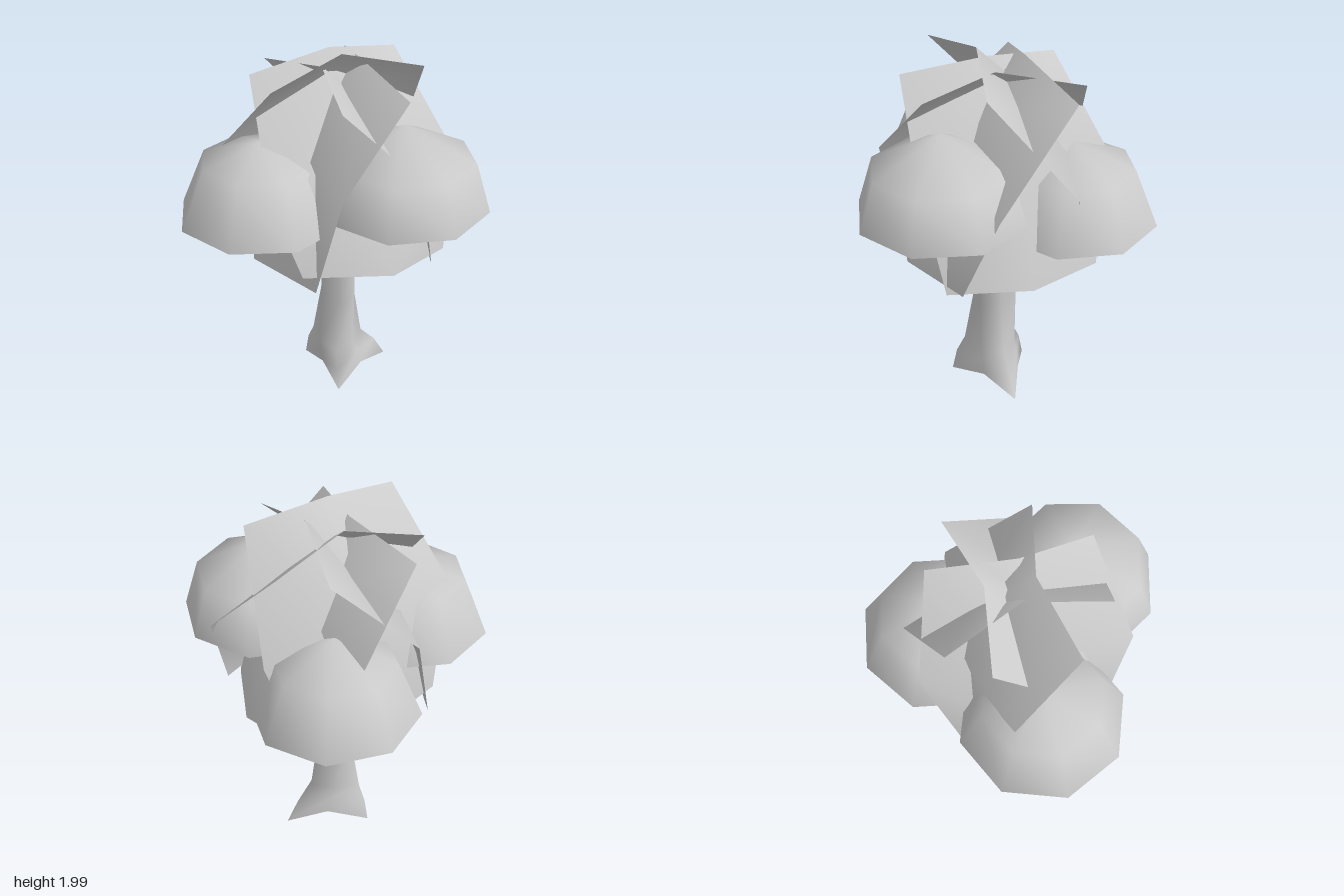
import * as THREE from 'three';
import { mergeVertices } from 'three/addons/utils/BufferGeometryUtils.js';

const clay = new THREE.MeshStandardMaterial({ color: 0xcccccc, side: THREE.DoubleSide });
clay.name = 'light grey';

function add(group, name, geometry) {
  const mesh = new THREE.Mesh(geometry, clay);
  mesh.name = name;
  group.add(mesh);
  return mesh;
}

// Joins seams so that the shading runs smoothly around the part
function smooth(geometry) {
  geometry.deleteAttribute('uv');
  geometry.deleteAttribute('normal');
  const welded = mergeVertices(geometry, 1e-4);
  welded.computeVertexNormals();
  return welded;
}

// Open-bottomed eight-sided foliage dome; profile is [radius, height] from the apex down
function dome(group, name, [x, y, z], turn, profile) {
  const points = profile.map(([r, h]) => new THREE.Vector2(r, h)).reverse();
  const mesh = add(group, name, smooth(new THREE.LatheGeometry(points, 8)));
  mesh.position.set(x, y, z);
  mesh.rotation.y = turn;
}

// Thin bent leaf sheet through rows of three points, from its upper edge to its hem
function sheet(group, name, ...rows) {
  const g = new THREE.PlaneGeometry(1, 1, 2, rows.length - 1);
  rows.flat().forEach((p, i) => g.attributes.position.setXYZ(i, ...p));
  g.computeVertexNormals();
  add(group, name, g);
}

// Six-sided trunk flaring into three roots
function trunkGeometry() {
  // [height, valley height, centre x, root radius, valley radius, depth factor], top first
  const rings = [
    [1.45, 1.45, 0.14, 0.05, 0.05, 1],
    [0.9, 0.9, 0.135, 0.1, 0.1, 1.25],
    [0.52, 0.52, 0.135, 0.1, 0.1, 1.22],
    [0.22, 0.22, 0.13, 0.155, 0.11, 1.08],
    [0.13, 0.16, 0.152, 0.22, 0.12, 1],
    [0.01, 0.07, 0.172, 0.27, 0.13, 0.92],
  ];
  const g = new THREE.CylinderGeometry(1, 1, 1, 6, rings.length - 1, true, Math.PI / 2);
  const p = g.attributes.position;
  for (let i = 0; i < p.count; i++) {
    const [y, valleyY, cx, root, valley, depth] = rings[Math.floor(i / 7)];
    const isRoot = i % 7 % 2 === 0;
    const r = isRoot ? root : valley;
    p.setXYZ(i, cx + p.getX(i) * r, isRoot ? y : valleyY, p.getZ(i) * r * depth);
  }
  return smooth(g);
}

// Branch that narrows towards its end
function branch(group, name, points) {
  const curve = new THREE.CatmullRomCurve3(points.map((p) => new THREE.Vector3(...p)));
  const segments = 6, sides = 6;
  const g = new THREE.TubeGeometry(curve, segments, 0.055, sides);
  const p = g.attributes.position;
  const v = new THREE.Vector3();
  for (let i = 0; i < p.count; i++) {
    const t = Math.floor(i / (sides + 1)) / segments;
    v.fromBufferAttribute(p, i).lerp(curve.getPointAt(t), 0.6 * t * t);
    p.setXYZ(i, v.x, v.y, v.z);
  }
  add(group, name, smooth(g));
}

export function createModel() {
  const tree = new THREE.Group();
  tree.name = 'tree';

  // Trunk and branches
  add(tree, 'trunk', trunkGeometry());
  branch(tree, 'rightBranch', [[0.12, 0.94, 0], [-0.2, 1.0, 0], [-0.36, 1.08, 0], [-0.38, 1.25, 0]]);
  branch(tree, 'backBranch', [[0.16, 0.79, -0.03], [0.27, 0.87, -0.24], [0.31, 1.0, -0.34], [0.32, 1.35, -0.36]]);
  branch(tree, 'frontBranch', [[0.16, 1.03, 0.04], [0.27, 1.13, 0.26], [0.32, 1.35, 0.37]]);

  // Foliage domes
  dome(tree, 'frontClump', [0.33, 1.23, 0.37], 0.1,
    [[0, 0.45], [0.37, 0.265], [0.45, 0]]);
  dome(tree, 'rightClump', [-0.32, 1.14, 0], 0,
    [[0, 0.42], [0.32, 0.32], [0.45, 0]]);
  dome(tree, 'backClump', [0.33, 1.05, -0.37], 0.16,
    [[0, 0.44], [0.32, 0.31], [0.445, 0]]);

  // Four bent leaf sheets that cross at the top and hang down to form the crown
  sheet(tree, 'leafSheetBack',
    [[-0.34, 1.91, 0.19], [0.1, 2.0, 0.09], [0.52, 1.9, 0.2]],
    [[-0.46, 1.47, -0.2], [0.12, 1.55, -0.36], [0.66, 1.34, -0.24]],
    [[-0.29, 0.93, -0.34], [0.14, 0.92, -0.48], [0.54, 0.95, -0.31]]);
  sheet(tree, 'leafSheetFront',
    [[-0.27, 1.83, -0.24], [0.15, 1.94, -0.155], [0.59, 1.84, -0.25]],
    [[-0.38, 1.33, 0.25], [0.1, 1.58, 0.3], [0.73, 1.35, 0.22]],
    [[-0.26, 0.93, 0.38], [0.2, 0.9, 0.52], [0.59, 0.88, 0.36]]);
  sheet(tree, 'leafSheetRight',
    [[0.3, 1.84, 0.45], [0.25, 1.92, 0.05], [0.37, 1.82, -0.4]],
    [[-0.12, 1.42, 0.55], [-0.15, 1.55, 0], [-0.04, 1.42, -0.57]],
    [[-0.2, 0.84, 0.41], [-0.37, 0.87, 0], [-0.21, 0.85, -0.42]]);
  sheet(tree, 'leafSheetLeft',
    [[-0.07, 1.84, 0.44], [0.03, 1.91, 0], [-0.1, 1.82, -0.43]],
    [[0.36, 1.4, 0.5], [0.42, 1.57, -0.02], [0.28, 1.4, -0.57]],
    [[0.49, 0.84, 0.41], [0.66, 0.87, 0], [0.5, 0.84, -0.43]]);
  return tree;
}
